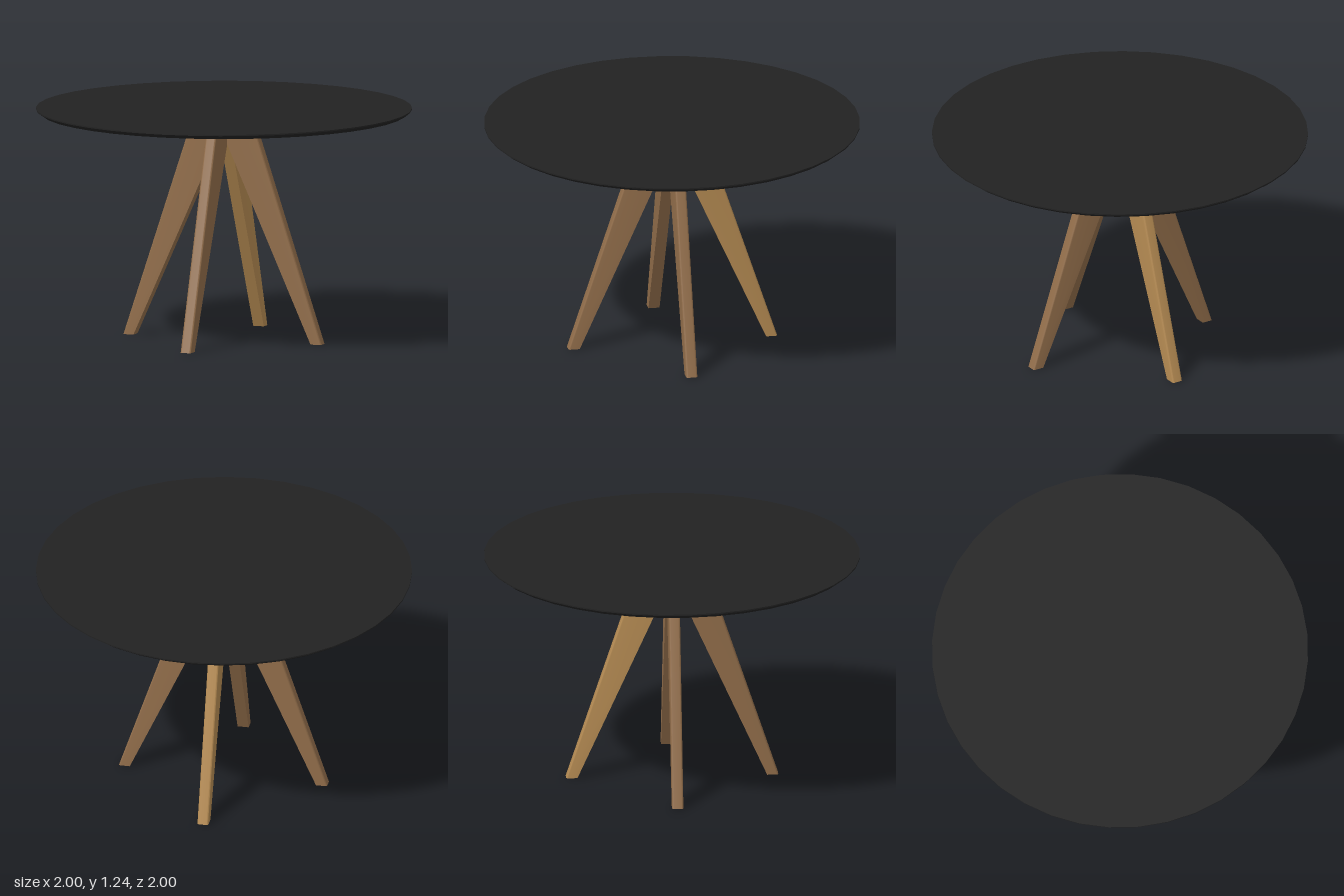
import * as THREE from 'three';
import { toCreasedNormals } from 'three/addons/utils/BufferGeometryUtils.js';

const black = new THREE.MeshStandardMaterial({ color: 0x222222 });
black.name = 'black top';
const brown = new THREE.MeshStandardMaterial({ color: 0x916d4a });
brown.name = 'brown wood';
const lightBrown = new THREE.MeshStandardMaterial({ color: 0xb48a52 });
lightBrown.name = 'light wood';

// Turned disc with crisp edges, from [radius, height] points listed bottom to top
function disc(name, points, segments) {
  const profile = points.map(([r, y]) => new THREE.Vector2(r, y));
  const geometry = toCreasedNormals(new THREE.LatheGeometry(profile, segments), 0.4);
  const mesh = new THREE.Mesh(geometry, black);
  mesh.name = name;
  return mesh;
}

// Horizontal leg section: square inner corners, rounded outer corners
function section(inner, outer, y) {
  const half = 0.03, round = 0.01, steps = 5;
  const ring = [[inner, y, half]];
  for (const side of [1, -1]) {
    for (let i = 0; i <= steps; i++) {
      const t = (side > 0 ? i : steps - i) / steps * Math.PI / 2;
      ring.push([
        outer - round + round * Math.sin(t), y,
        side * (half - round + round * Math.cos(t)),
      ]);
    }
  }
  ring.push([inner, y, -half]);
  return ring;
}

// Tapering leg: slanted outside, slanted inside that turns upright near the top
function legGeometry() {
  const foot = 0.565, head = 0.168, top = 1.19;
  const outerAt = (y) => foot + (head - foot) * y / top;
  const rings = [[0.505, 0], [0.03, 1.05], [0.03, top]]
    .map(([inner, y]) => section(inner, outerAt(y), y));
  const n = rings[0].length;
  const index = [];
  for (let k = 0; k < rings.length - 1; k++) {
    for (let j = 0; j < n; j++) {
      const a = k * n + j, b = k * n + (j + 1) % n;
      index.push(a, b, b + n, a, b + n, a + n);
    }
  }
  const last = (rings.length - 1) * n;
  for (let j = 1; j < n - 1; j++) {
    index.push(0, j + 1, j);
    index.push(last, last + j, last + j + 1);
  }
  const geometry = new THREE.BufferGeometry();
  geometry.setAttribute('position', new THREE.Float32BufferAttribute(rings.flat(2), 3));
  geometry.setIndex(index);
  return toCreasedNormals(geometry, 0.38);
}

export function createModel() {
  const table = new THREE.Group();
  table.name = 'roundTable';

  // Round top with an undercut edge
  table.add(disc('tableTop', [[0, 1.215], [0.975, 1.215], [1, 1.234], [1, 1.241], [0, 1.241]], 40));

  // Bevelled mounting plate, set slightly off centre
  const plate = disc('mountingPlate', [[0, 1.19], [0.51, 1.19], [0.54, 1.215], [0, 1.215]], 40);
  plate.position.set(-0.005, 0, 0.005);
  table.add(plate);

  // Four splayed legs, the back one in lighter wood
  const geometry = legGeometry();
  ['leftLeg', 'backLeg', 'rightLeg', 'frontLeg'].forEach((name, i) => {
    const leg = new THREE.Mesh(geometry, name === 'backLeg' ? lightBrown : brown);
    leg.name = name;
    leg.rotation.y = THREE.MathUtils.degToRad(25 + i * 90);
    table.add(leg);
  });
  return table;
}
